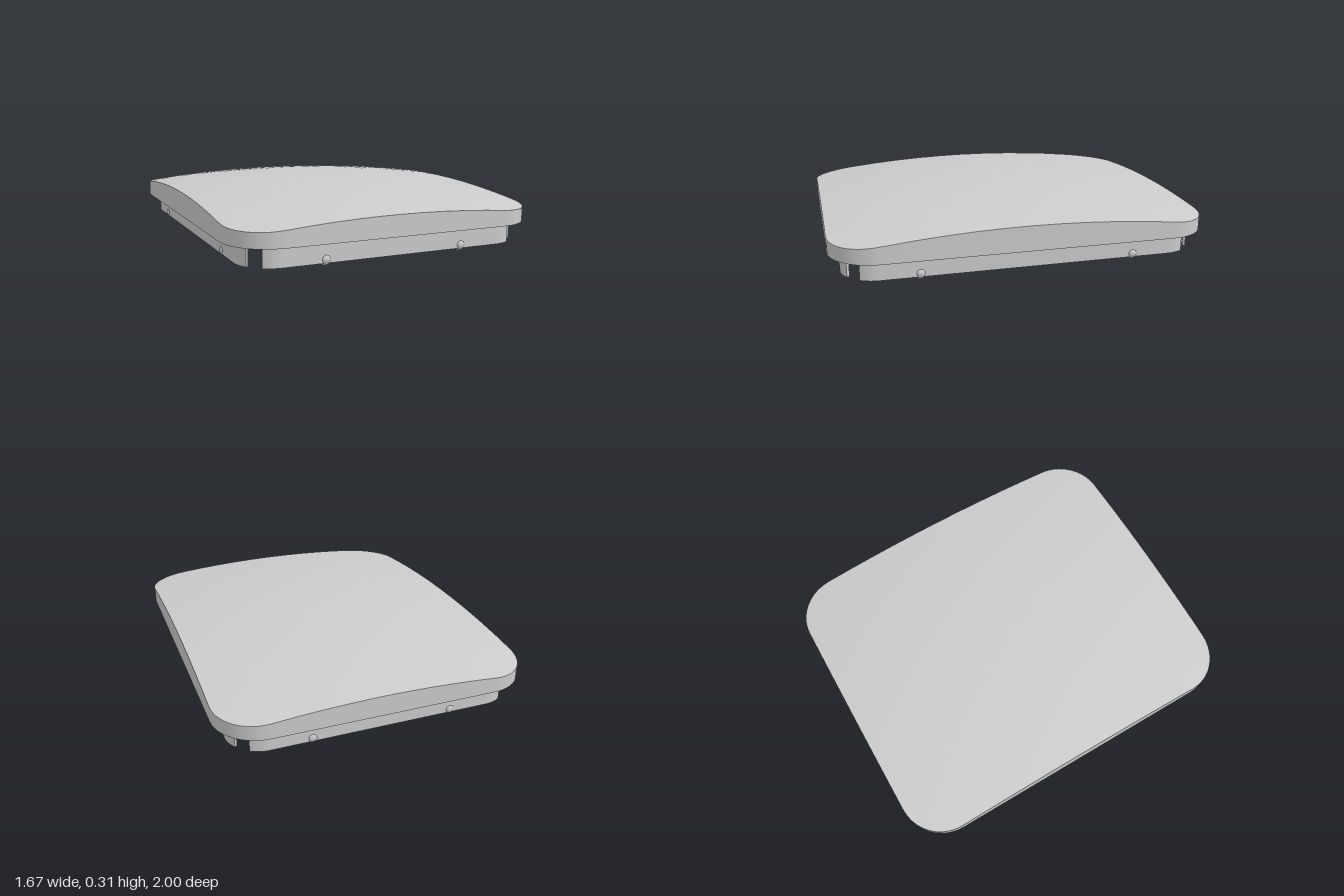
import * as THREE from 'three';
import { toCreasedNormals } from 'three/addons/utils/BufferGeometryUtils.js';

const RIM_Y = 0.12;   // underside of the rim
const FOOT_Y = 0.015; // lower edge of the skirt walls
const material = new THREE.MeshStandardMaterial({ color: 0xcccccc });

// Height of the domed top surface
const domeHeight = (x, z) => 0.305 - 0.075 * x * x - 0.075 * z * z;

// Rounded rectangle as a closed loop of [x, z], running from +x towards +z
function outline(hx, hz, r, cornerSteps = 10, sideSteps = 10) {
  const centres = [[1, 1], [-1, 1], [-1, -1], [1, -1]];
  const corners = centres.map(([sx, sz], k) => {
    const arc = [];
    for (let i = 0; i <= cornerSteps; i++) {
      const a = (k + i / cornerSteps) * Math.PI / 2;
      arc.push([sx * (hx - r) + r * Math.cos(a), sz * (hz - r) + r * Math.sin(a)]);
    }
    return arc;
  });
  const loop = [];
  corners.forEach((arc, k) => {
    loop.push(...arc);
    const p = arc[cornerSteps], q = corners[(k + 1) % 4][0];
    for (let i = 1; i < sideSteps; i++) {
      const t = i / sideSteps;
      loop.push([p[0] + (q[0] - p[0]) * t, p[1] + (q[1] - p[1]) * t]);
    }
  });
  return loop;
}

// One ring of points: the loop scaled by s, with its height given by a rule
const ring = (loop, s, height) => loop.map(([x, z]) => [x * s, height(x * s, z * s), z * s]);

// Skin a series of closed rings
function loft(rings) {
  const n = rings[0].length, index = [];
  for (let i = 0; i < rings.length - 1; i++) {
    for (let j = 0; j < n; j++) {
      const k = (j + 1) % n;
      const a = i * n + j, b = i * n + k, c = a + n, d = b + n;
      index.push(a, b, c, b, d, c);
    }
  }
  const geometry = new THREE.BufferGeometry();
  geometry.setAttribute('position', new THREE.Float32BufferAttribute(rings.flat(2), 3));
  geometry.setIndex(index);
  geometry.computeVertexNormals();
  return geometry;
}

function addMesh(parent, name, geometry) {
  const mesh = new THREE.Mesh(geometry, material);
  mesh.name = name;
  parent.add(mesh);
  return mesh;
}

// Domed lid, hollow underneath
function makeLid() {
  const lid = new THREE.Group();
  lid.name = 'lid';
  const outer = outline(0.835, 1, 0.24);
  const inner = outline(0.72, 0.885, 0.13);
  const flat = () => RIM_Y;
  const ceiling = (x, z) => domeHeight(x, z) - 0.05;
  const scales = Array.from({ length: 11 }, (_, i) => i / 10);

  addMesh(lid, 'domedTop', loft(scales.map(s => ring(outer, s, domeHeight))));
  addMesh(lid, 'outerRim', loft([ring(outer, 1, domeHeight), ring(outer, 1, flat)]));
  addMesh(lid, 'rimUnderside', loft([ring(outer, 1, flat), ring(inner, 1, flat)]));
  addMesh(lid, 'innerRim', loft([ring(inner, 1, flat), ring(inner, 1, ceiling)]));
  addMesh(lid, 'ceiling', loft([...scales].reverse().map(s => ring(inner, s, ceiling))));
  return lid;
}

// Skirt wall with ends bending into the corners, and two snap bumps near its lower edge
function makeWall(name, halfStraight, distance, bumpOffset) {
  const wall = new THREE.Group();
  wall.name = name;
  const r = 0.175, thickness = 0.016, bend = 0.575, up = Math.PI / 2;
  const y = distance - r;
  const shape = new THREE.Shape();
  shape.absarc(halfStraight, y, r, up - bend, up, false);
  shape.absarc(-halfStraight, y, r, up, up + bend, false);
  shape.absarc(-halfStraight, y, r - thickness, up + bend, up, true);
  shape.absarc(halfStraight, y, r - thickness, up, up - bend, true);
  shape.closePath();
  const geometry = new THREE.ExtrudeGeometry(shape, {
    depth: RIM_Y - FOOT_Y, bevelEnabled: false, curveSegments: 8,
  });
  geometry.rotateX(-Math.PI / 2);
  geometry.translate(0, FOOT_Y, 0);
  addMesh(wall, 'skirtWall', toCreasedNormals(geometry, 0.5));

  for (const side of [-1, 1]) {
    const bump = addMesh(wall, 'snapBump', new THREE.SphereGeometry(0.033, 20, 14));
    bump.position.set(side * bumpOffset, 0.033, -(distance - 0.025));
  }
  return wall;
}

export function createModel() {
  const model = new THREE.Group();
  model.name = 'snapOnCover';
  model.add(makeLid());

  const walls = [
    ['backWall', 0.59, 0.94, 0.375],
    ['leftWall', 0.76, 0.77, 0.56],
    ['frontWall', 0.59, 0.94, 0.375],
    ['rightWall', 0.76, 0.77, 0.56],
  ];
  walls.forEach(([name, straight, distance, bump], k) => {
    const wall = makeWall(name, straight, distance, bump);
    wall.rotation.y = -k * Math.PI / 2;
    model.add(wall);
  });
  return model;
}
